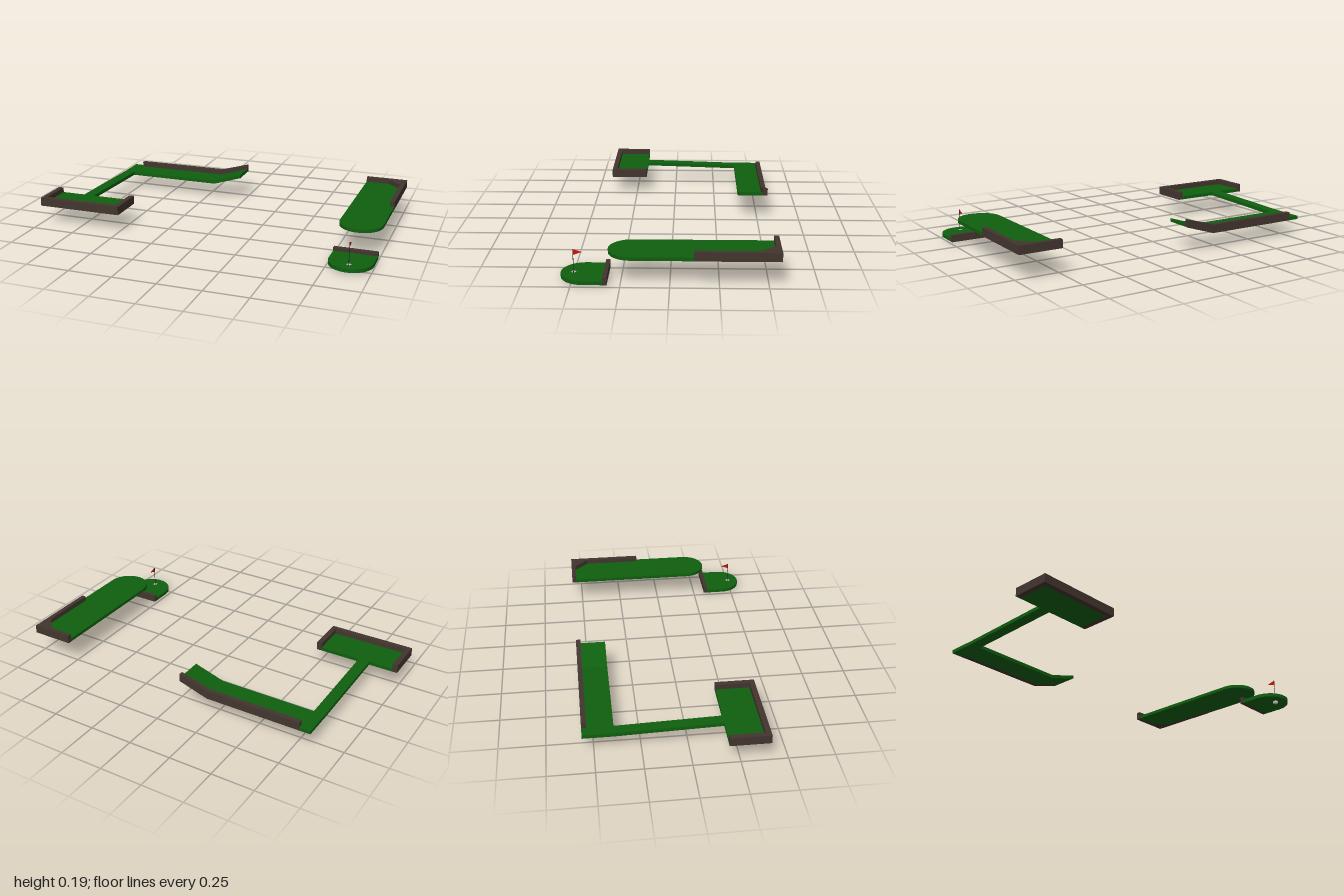
import * as THREE from 'three';

const turf = new THREE.MeshStandardMaterial({ color: 0x0f5f0f });
const timber = new THREE.MeshStandardMaterial({ color: 0x43352f });
const grey = new THREE.MeshStandardMaterial({ color: 0xcccccc, side: THREE.DoubleSide });
const dark = new THREE.MeshStandardMaterial({ color: 0x222222 });
const red = new THREE.MeshStandardMaterial({ color: 0xcc1111, side: THREE.DoubleSide });

function add(group, name, geometry, material) {
  const mesh = new THREE.Mesh(geometry, material);
  mesh.name = name;
  group.add(mesh);
  return mesh;
}

const polygon = (points) => new THREE.Shape(points.map(([a, b]) => new THREE.Vector2(a, b)));

// Plan outline drawn as (x, -z), raised from y0 to y1
function slab(shape, y0, y1) {
  return new THREE.ExtrudeGeometry(shape, { depth: y1 - y0, bevelEnabled: false, curveSegments: 24 })
    .rotateX(-Math.PI / 2).translate(0, y0, 0);
}

// Side outline drawn as (x, y), drawn out from z0 to z1
function profile(points, z0, z1) {
  return new THREE.ExtrudeGeometry(polygon(points), { depth: z1 - z0, bevelEnabled: false })
    .translate(0, 0, z0);
}

function block(x0, x1, y0, y1, z0, z1) {
  return new THREE.BoxGeometry(x1 - x0, y1 - y0, z1 - z0)
    .translate((x0 + x1) / 2, (y0 + y1) / 2, (z0 + z1) / 2);
}

// Strip that is square at the back and half round at the front
function roundedStrip(x0, x1, zBack, zFront) {
  const r = (x1 - x0) / 2;
  const shape = new THREE.Shape();
  shape.moveTo(x1, -zBack);
  shape.lineTo(x0, -zBack);
  shape.lineTo(x0, -(zFront - r));
  shape.absarc((x0 + x1) / 2, -(zFront - r), r, Math.PI, Math.PI * 2, false);
  shape.closePath();
  return shape;
}

function createTeeBox() {
  const g = new THREE.Group();
  g.name = 'teeBox';
  add(g, 'teeFloor', block(-0.97, -0.527, 0.107, 0.127, 0.187, 0.377), turf);
  // U-shaped kerb, open at the back
  const kerb = polygon([[-1, -0.187], [-1, -0.407], [-0.497, -0.407], [-0.497, -0.187],
    [-0.527, -0.187], [-0.527, -0.377], [-0.97, -0.377], [-0.97, -0.187]]);
  add(g, 'teeKerb', slab(kerb, 0.107, 0.156), timber);
  return g;
}

function createLane() {
  const g = new THREE.Group();
  g.name = 'lane';
  // Narrow sloping bridge: a side outline in (-z, y) turned to run along z
  const bridge = profile([[-0.187, 0.107], [0.39, 0.09], [0.39, 0.11], [-0.187, 0.127]], -0.83, -0.765);
  bridge.rotateY(Math.PI / 2);
  add(g, 'narrowBridge', bridge, turf);
  // Flat run that kicks up into a jump
  add(g, 'jumpLane', profile([[-0.83, 0.09], [-0.765, 0.09], [-0.765, 0.11], [-0.83, 0.11]], -0.56, -0.39), turf);
  add(g, 'jumpRamp', profile([[-0.765, 0.09], [-0.2, 0.09], [-0.025, 0.145], [-0.025, 0.165],
    [-0.2, 0.11], [-0.765, 0.11]], -0.533, -0.39), turf);
  add(g, 'jumpKerb', profile([[-0.765, 0.09], [-0.2, 0.09], [-0.025, 0.145], [-0.025, 0.19],
    [-0.2, 0.139], [-0.765, 0.139]], -0.56, -0.533), timber);
  return g;
}

function createUpperPlatform() {
  const g = new THREE.Group();
  g.name = 'upperPlatform';
  add(g, 'platformTurf', slab(roundedStrip(0.755, 0.999, -0.535, 0.316), 0.145, 0.164), turf);
  // L-shaped kerb with a slanted inner corner
  const kerb = polygon([[0.755, 0.56], [0.755, 0.534], [0.895, 0.534], [0.974, 0.455],
    [0.974, 0.12], [1, 0.12], [1, 0.56]]);
  add(g, 'platformKerb', slab(kerb, 0.1445, 0.192), timber);
  return g;
}

function createPuttingGreen() {
  const g = new THREE.Group();
  g.name = 'puttingGreen';
  const x = 0.877, z = 0.495, r = 0.015;
  const outline = roundedStrip(0.755, 1, 0.337, 0.56);
  outline.holes.push(new THREE.Path().absarc(x, -z, r, 0, Math.PI * 2, true));
  add(g, 'greenTurf', slab(outline, 0.012, 0.033), turf);
  add(g, 'greenKerb', block(0.755, 1, 0.012, 0.053, 0.315, 0.337), timber);
  // Cup, open at the top
  const cup = [[0, 0], [r, 0], [r, 0], [r, 0.031]].map(([a, b]) => new THREE.Vector2(a, b));
  add(g, 'cup', new THREE.LatheGeometry(cup, 24), grey).position.set(x, 0, z);
  // Flag on a thin pole, pointing backwards
  add(g, 'flagPole', new THREE.CylinderGeometry(0.0015, 0.0015, 0.154, 8), dark).position.set(x, 0.079, z);
  const pennant = new THREE.ShapeGeometry(polygon([[0, 0.124], [0.047, 0.14], [0, 0.156]]));
  add(g, 'flag', pennant.rotateY(Math.PI / 2), red).position.set(x, 0, z);
  return g;
}

export function createModel() {
  const model = new THREE.Group();
  model.name = 'miniatureGolfHole';
  model.add(createTeeBox(), createLane(), createUpperPlatform(), createPuttingGreen());
  return model;
}
